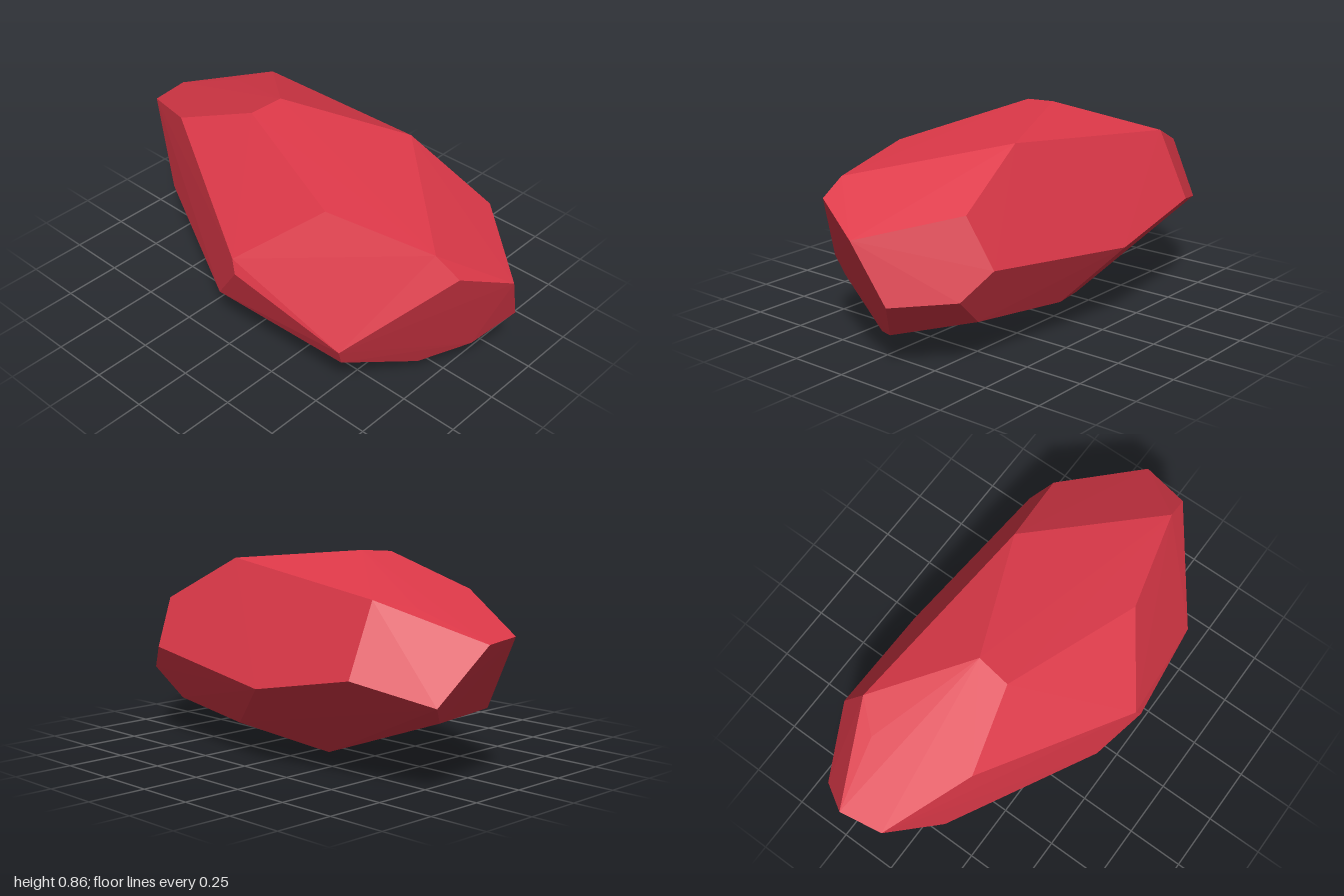
import * as THREE from 'three';
import { ConvexGeometry } from 'three/addons/geometries/ConvexGeometry.js';

// Corners of the cut stone, grouped by region
const crown = [
  [0.06, 0.862, -0.23], [-0.09, 0.85, -0.25], [0.28, 0.81, 0.3],
  [-0.29, 0.75, 0.35], [-0.17, 0.707, 0.8], [-0.175, 0.716, -0.6],
  [0.375, 0.718, -0.59], [0.25, 0.685, -0.7],
];
const frontTip = [
  [-0.16, 0.645, 0.91], [0.07, 0.545, 1], [0.345, 0.615, 0.67],
  [0.445, 0.41, 0.63], [0.375, 0.3, 0.745], [0.19, 0.295, 0.945],
];
const backTip = [
  [0, 0.582, -0.97], [0.19, 0.575, -1], [0.365, 0.35, -0.905],
  [0.51, 0.43, -0.6], [0.28, 0.275, -0.845], [-0.12, 0.26, -0.745],
];
const sides = [
  [0.53, 0.335, -0.105], [-0.53, 0.437, 0.085], [-0.517, 0.495, 0.06],
  [-0.457, 0.275, 0.58], [-0.42, 0.19, 0.561], [-0.45, 0.197, -0.1],
];
const base = [
  [0.085, 0.125, 0.82], [-0.09, 0.057, 0.685], [0.34, 0.175, 0.6],
  [0.395, 0.14, 0.15], [0.22, 0.045, -0.2], [0.025, 0, -0.065],
  [-0.25, 0.108, -0.286],
];

export function createModel() {
  const group = new THREE.Group();
  group.name = 'facetedStone';

  const red = new THREE.MeshStandardMaterial({ color: 0xdc3848 });
  red.name = 'red';
  red.flatShading = true;

  // One convex body spanning all the corners
  const points = [...crown, ...frontTip, ...backTip, ...sides, ...base]
    .map((p) => new THREE.Vector3(...p));
  const stone = new THREE.Mesh(new ConvexGeometry(points), red);
  stone.name = 'stone';
  group.add(stone);
  return group;
}
